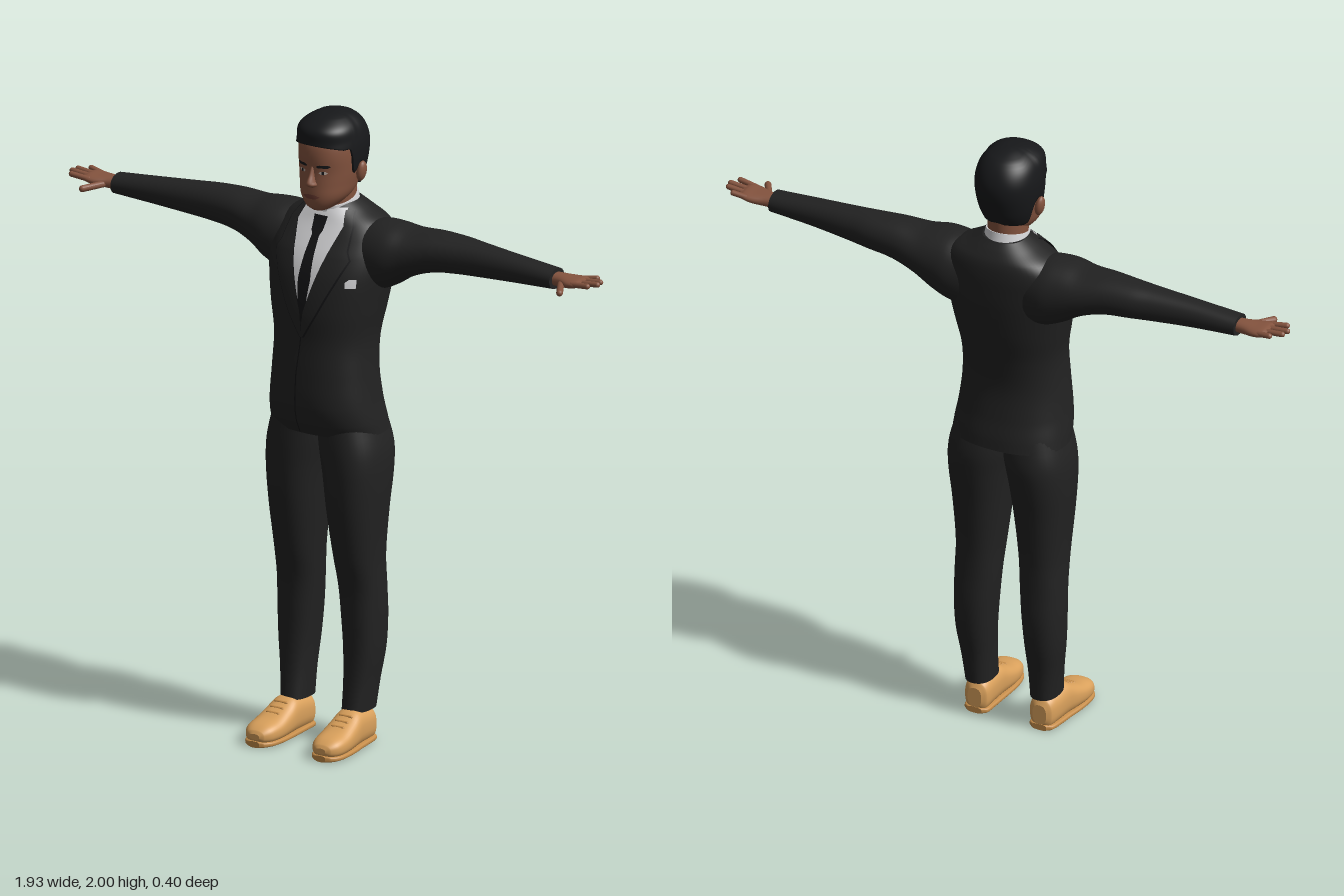
import * as THREE from 'three';

const mat = (name, color, side = THREE.FrontSide) => {
  const m = new THREE.MeshStandardMaterial({ color, side });
  m.name = name;
  return m;
};

// Grid of points fn(i, j), outward normal = du x dv; wraps around in j when closed
function grid(nu, nv, fn, closed) {
  const pos = [], idx = [], cols = closed ? nv : nv + 1;
  for (let i = 0; i <= nu; i++) for (let j = 0; j < cols; j++) pos.push(...fn(i, j));
  for (let i = 0; i < nu; i++) for (let j = 0; j < nv; j++) {
    const k = (j + 1) % cols;
    const a = i * cols + j, b = a + cols, c = i * cols + k, d = c + cols;
    idx.push(a, b, c, b, d, c);
  }
  const g = new THREE.BufferGeometry();
  g.setAttribute('position', new THREE.Float32BufferAttribute(pos, 3));
  g.setIndex(idx);
  g.computeVertexNormals();
  return g;
}

// Smooth interpolation of rows [t, ...values]
function sample(rows, t) {
  let i = 0;
  while (i < rows.length - 2 && t > rows[i + 1][0]) i++;
  const p = rows[i], q = rows[i + 1], o = rows[Math.max(i - 1, 0)], r = rows[Math.min(i + 2, rows.length - 1)];
  const h = q[0] - p[0], s = Math.min(1, Math.max(0, (t - p[0]) / h));
  return p.slice(1).map((v, k) => {
    const w = q[k + 1];
    const m0 = (w - o[k + 1]) / (q[0] - o[0]) * h, m1 = (r[k + 1] - v) / (r[0] - p[0]) * h;
    const s2 = s * s, s3 = s2 * s;
    return v * (2 * s3 - 3 * s2 + 1) + m0 * (s3 - 2 * s2 + s) + w * (3 * s2 - 2 * s3) + m1 * (s3 - s2);
  });
}

const pow = (v, e) => Math.sign(v) * Math.abs(v) ** e;
const alongY = (a, t, b) => [a, t, b];
const alongX = (a, t, b) => [t, b, a];
const alongZ = (a, t, b) => [b, a, t];

// Capped loft through rounded sections [t, aMin, aMax, bMin, bMax]
function loft(rows, map = alongY, e = 0.85, n = 40, k = 4) {
  const ts = [];
  rows.slice(0, -1).forEach((r, i) => {
    for (let s = 0; s < k; s++) ts.push(r[0] + (rows[i + 1][0] - r[0]) * s / k);
  });
  const first = rows[0][0], last = rows[rows.length - 1][0];
  ts.push(last);
  const list = [[first, 0], [first, 1], ...ts.map(t => [t, 1]), [last, 1], [last, 0]];
  return grid(list.length - 1, n, (i, j) => {
    const [t, f] = list[i], [a0, a1, b0, b1] = sample(rows, t), v = j / n * Math.PI * 2;
    return map((a0 + a1) / 2 + f * (a1 - a0) / 2 * pow(Math.cos(v), e), t,
      (b0 + b1) / 2 + f * (b1 - b0) / 2 * pow(Math.sin(v), e));
  }, true);
}

// Thin patch of rows [y, xLeft, xRight] laid on the front of a lofted body
function patch(rows, body, off, e = 0.85) {
  const nx = 10, per = 5, ny = (rows.length - 1) * per;
  return grid(nx, ny, (i, j) => {
    const r = Math.min(Math.floor(j / per), rows.length - 2), s = j / per - r;
    const [y, x0, x1] = rows[r].map((v, k) => v + (rows[r + 1][k] - v) * s);
    const x = x0 + (x1 - x0) * i / nx, [a0, a1, b0, b1] = sample(body, y);
    const q = Math.min(1, Math.abs((x - (a0 + a1) / 2) / ((a1 - a0) / 2)));
    return [x, y, (b0 + b1) / 2 + (b1 - b0) / 2 * (1 - q ** (2 / e)) ** (e / 2) + off];
  }, false);
}

function capsule(from, to, r) {
  const a = new THREE.Vector3(...from), d = new THREE.Vector3(...to).sub(a);
  const g = new THREE.CapsuleGeometry(r, d.length(), 5, 12);
  g.applyQuaternion(new THREE.Quaternion().setFromUnitVectors(new THREE.Vector3(0, 1, 0), d.clone().normalize()));
  return g.translate(...a.addScaledVector(d, 0.5).toArray());
}

function mirrored(geo) {
  const g = geo.clone().scale(-1, 1, 1), ix = g.index.array;
  for (let i = 0; i < ix.length; i += 3) [ix[i], ix[i + 1]] = [ix[i + 1], ix[i]];
  g.computeVertexNormals();
  return g;
}

export function createModel() {
  const model = new THREE.Group();
  model.name = 'manInSuit';
  const D = THREE.DoubleSide;
  const suit = mat('suit cloth', 0x222222, D), dark = mat('tie black', 0x131315, D), shirt = mat('shirt white', 0xd6d6d8, D);
  const skin = mat('skin', 0x85543f), hair = mat('hair', 0x17181a, D), lip = mat('lips', 0x6e3d33, D);
  const white = mat('eye white', 0xb9aaa0, D), shoe = mat('shoe tan', 0xdaa15c), sole = mat('sole tan', 0xc68d4a);
  const add = (name, geo, m) => {
    const mesh = new THREE.Mesh(geo, m);
    mesh.name = name;
    model.add(mesh);
  };
  const pair = (name, geo, m) => {
    add(name + 'Left', geo, m);
    add(name + 'Right', mirrored(geo), m);
  };
  const sym = rows => rows.map(([t, w, b0, b1]) => [t, -w, w, b0, b1]);

  // Jacket body
  const torso = sym([
    [1.0, 0.186, -0.175, 0.09], [1.04, 0.183, -0.17, 0.112], [1.1, 0.175, -0.158, 0.125], [1.2, 0.165, -0.147, 0.122],
    [1.3, 0.163, -0.158, 0.115], [1.4, 0.18, -0.18, 0.115], [1.5, 0.198, -0.193, 0.1], [1.57, 0.205, -0.196, 0.073],
    [1.62, 0.2, -0.195, 0.04], [1.66, 0.165, -0.188, 0.015], [1.69, 0.11, -0.17, 0.0], [1.715, 0.07, -0.148, -0.015]]);
  add('jacketBody', loft(torso, alongY, 0.85, 56, 6), suit);
  add('jacketFrontSeam', patch([[1.005, -0.024, -0.02], [1.2, -0.02, -0.016], [1.35, -0.003, 0.001]], torso, 0.003), dark);

  // Shirt front, tie, lapels and pocket square
  add('shirtFront', patch([[1.38, -0.006, 0.006], [1.5, -0.045, 0.045], [1.655, -0.087, 0.087], [1.705, -0.07, 0.07]], torso, 0.003), shirt);
  add('tie', patch([[1.37, -0.008, 0.008], [1.5, -0.022, 0.022], [1.625, -0.013, 0.013], [1.64, -0.02, 0.02], [1.68, -0.024, 0.024]], torso, 0.008), dark);
  pair('collarWing', patch([[1.62, 0.042, 0.052], [1.655, 0.024, 0.08], [1.7, 0.014, 0.072]], torso, 0.006), shirt);
  const lapel = [[1.32, -0.002, 0.004], [1.4, 0.006, 0.05], [1.5, 0.036, 0.1], [1.57, 0.057, 0.132],
    [1.595, 0.064, 0.118], [1.66, 0.083, 0.11], [1.7, 0.07, 0.088]];
  pair('lapel', patch(lapel, torso, 0.0095), suit);
  pair('lapelEdge', patch(lapel.map(([y, a, b]) => [y - 0.002, a, b + 0.004]), torso, 0.006), dark);
  add('pocketSquare', patch([[1.487, 0.13, 0.158], [1.505, 0.129, 0.159], [1.515, 0.14, 0.158]], torso, 0.006), shirt);

  // Shirt collar, higher at the back, and neck
  const tilt = (a, t, b) => [a, t - 0.25 * (b + 0.07), b];
  add('shirtCollar', loft(sym([[1.66, 0.076, -0.155, 0.0], [1.7, 0.07, -0.146, 0.003], [1.725, 0.066, -0.141, 0.004]]), tilt, 1), shirt);
  add('neck', loft(sym([[1.64, 0.06, -0.135, -0.02], [1.7, 0.06, -0.135, -0.005], [1.8, 0.064, -0.142, 0.02]]), alongY, 1), skin);

  // Head
  const skull = sym([
    [1.705, 0.026, -0.03, 0.045], [1.718, 0.046, -0.06, 0.06], [1.75, 0.072, -0.11, 0.068], [1.79, 0.083, -0.14, 0.066],
    [1.83, 0.09, -0.155, 0.063], [1.88, 0.094, -0.166, 0.065], [1.92, 0.091, -0.162, 0.058], [1.96, 0.076, -0.14, 0.035],
    [1.985, 0.046, -0.108, 0.0], [1.993, 0.018, -0.075, -0.03]]);
  add('head', loft(skull, alongY, 0.9, 48, 5), skin);

  // Hair shell: follows the skull above a hairline that dips at the sideburns and nape
  const hairline = [[-1, 1.772], [-0.5, 1.775], [-0.25, 1.84], [0.02, 1.85], [0.12, 1.825], [0.22, 1.83], [0.34, 1.895], [0.6, 1.905], [1, 1.918]];
  const rowsN = 24, colsN = 96;
  add('hair', grid(rowsN + 2, colsN, (i, j) => {
    const v = j / colsN * Math.PI * 2, c = pow(Math.cos(v), 0.9), s = pow(Math.sin(v), 0.9);
    const u = Math.min(1, Math.max(0, i - 1) / rowsN), low = sample(hairline, s)[0];
    const y = low + (1.993 - low) * u, [a0, a1, b0, b1] = sample(skull, y);
    const quiff = 0.018 * Math.max(0, s) * Math.exp(-(((y - 1.962) / 0.03) ** 2));
    const off = i === 0 ? -0.004 : 0.008 + quiff, f = i > rowsN + 1 ? 0 : 1;
    return [f * (a1 + off) * c, y + 0.007 * u, (b0 + b1) / 2 + f * ((b1 - b0) / 2 + off) * s];
  }, true), hair);

  // Face
  add('nose', loft(sym([[1.784, 0.01, 0.035, 0.07], [1.793, 0.019, 0.035, 0.086], [1.804, 0.014, 0.035, 0.088],
    [1.825, 0.009, 0.035, 0.076], [1.85, 0.008, 0.03, 0.065]]), alongY, 1, 20), skin);
  pair('ear', new THREE.SphereGeometry(1, 16, 12).scale(0.014, 0.033, 0.02).rotateZ(-0.15).translate(0.102, 1.822, -0.055), skin);
  pair('eye', patch([[1.828, 0.03, 0.042], [1.833, 0.023, 0.05], [1.838, 0.03, 0.044]], skull, 0.002, 0.9), white);
  pair('iris', patch([[1.828, 0.033, 0.04], [1.838, 0.033, 0.04]], skull, 0.003, 0.9), hair);
  pair('eyebrow', patch([[1.849, 0.018, 0.05], [1.854, 0.017, 0.059], [1.858, 0.026, 0.052]], skull, 0.003, 0.9), hair);
  add('mouth', patch([[1.748, -0.014, 0.014], [1.756, -0.03, 0.03], [1.762, -0.012, 0.012]], skull, 0.003, 0.9), lip);

  // Sleeves
  pair('sleeve', loft([
    [0.08, -0.175, 0.015, 1.44, 1.655], [0.16, -0.19, 0.028, 1.45, 1.672], [0.22, -0.186, 0.028, 1.475, 1.672],
    [0.28, -0.178, 0.01, 1.513, 1.664], [0.36, -0.165, -0.01, 1.54, 1.668], [0.45, -0.155, -0.024, 1.55, 1.665],
    [0.52, -0.142, -0.03, 1.555, 1.66], [0.65, -0.125, -0.034, 1.564, 1.65], [0.8, -0.116, -0.034, 1.573, 1.637]],
  alongX, 0.95), suit);

  // Hands
  pair('palm', loft([
    [0.78, -0.1, -0.05, 1.583, 1.625], [0.82, -0.105, -0.045, 1.585, 1.625], [0.86, -0.116, -0.03, 1.59, 1.624],
    [0.89, -0.117, -0.028, 1.597, 1.624], [0.905, -0.108, -0.036, 1.603, 1.62]], alongX, 0.9, 24), skin);
  const fingers = [['index', -0.038, 0.94, -0.032], ['middle', -0.062, 0.957, -0.062], ['ring', -0.085, 0.952, -0.086], ['little', -0.107, 0.922, -0.113]];
  for (const [name, z0, tip, z1] of fingers)
    pair(name + 'Finger', capsule([0.88, 1.611, z0], [tip, 1.618, z1], 0.0088), skin);
  pair('thumb', capsule([0.835, 1.602, -0.045], [0.87, 1.597, 0.014], 0.0105), skin);

  // Trouser legs
  pair('trouserLeg', loft([
    [0.11, 0.068, 0.155, -0.09, 0.036], [0.2, 0.065, 0.165, -0.1, 0.025], [0.3, 0.058, 0.178, -0.117, 0.02],
    [0.4, 0.05, 0.182, -0.124, 0.022], [0.5, 0.042, 0.182, -0.12, 0.027], [0.6, 0.035, 0.181, -0.12, 0.05],
    [0.75, 0.02, 0.191, -0.135, 0.075], [0.87, 0.007, 0.199, -0.155, 0.085], [0.95, -0.006, 0.196, -0.163, 0.087],
    [1.04, -0.015, 0.175, -0.15, 0.082]]), suit);

  // Shoes with soles and laces
  const upper = [
    [-0.077, 0.02, 0.085, 0.088, 0.135], [-0.065, 0.004, 0.104, 0.073, 0.15], [-0.03, 0.004, 0.114, 0.069, 0.158],
    [0.03, 0.004, 0.12, 0.066, 0.165], [0.07, 0.004, 0.1, 0.064, 0.171], [0.12, 0.004, 0.078, 0.064, 0.175],
    [0.165, 0.006, 0.067, 0.072, 0.171], [0.19, 0.014, 0.054, 0.088, 0.155], [0.198, 0.025, 0.043, 0.103, 0.138]];
  pair('shoe', loft(upper, alongZ, 0.8), shoe);
  pair('sole', loft(upper.map(([z, , , a, b]) => [z * 1.01, 0, 0.02, a - 0.001, b + 0.001]), alongZ, 0.6), sole);
  for (let i = 0; i < 3; i++) {
    const z = 0.055 + i * 0.022, y = sample(upper, z)[1] - 0.001;
    pair('lace' + (i + 1), capsule([0.098, y - 0.002, z], [0.138, y - 0.002, z], 0.0045), sole);
  }
  return model;
}
